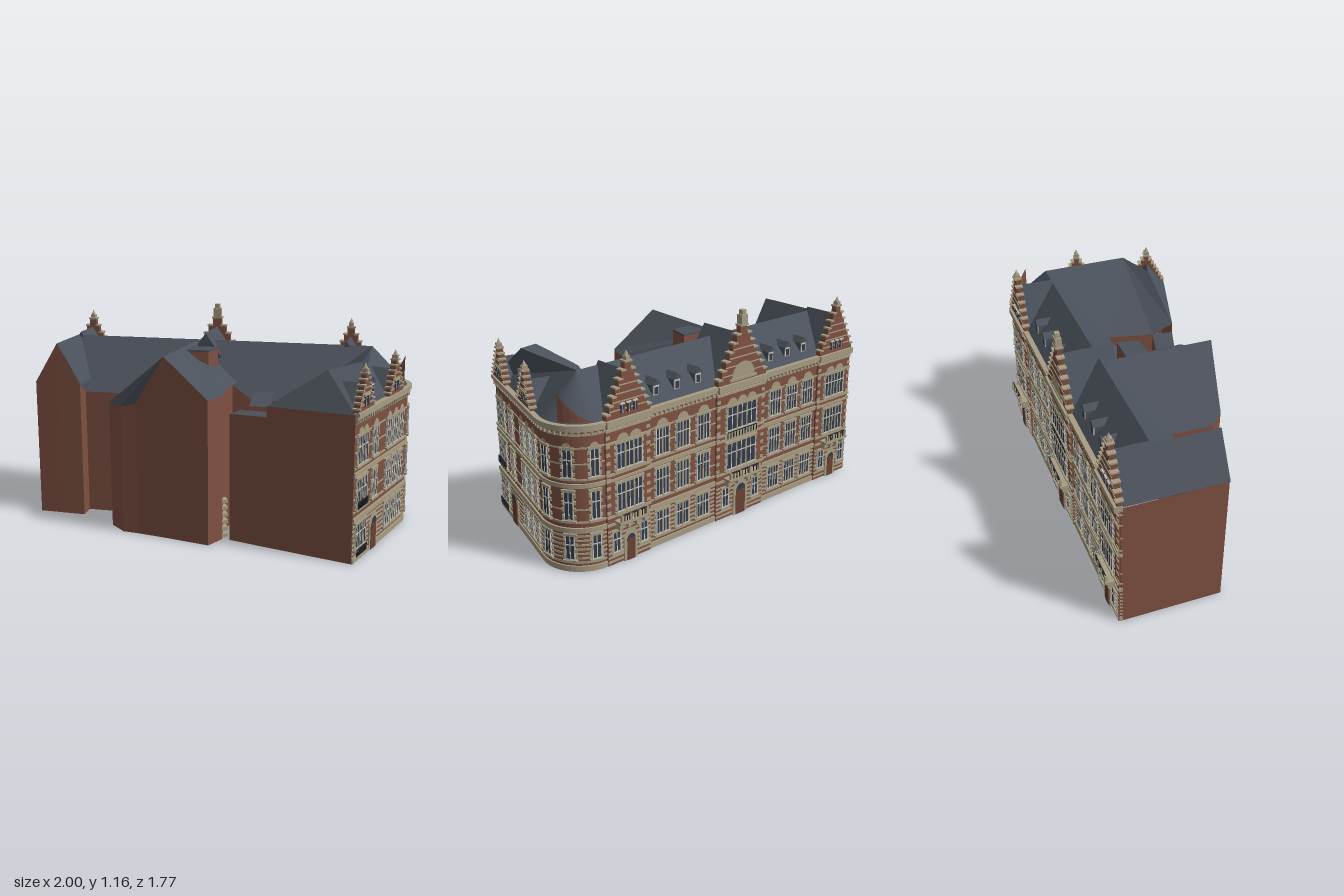
import * as THREE from 'three';

const material = (name, color, side = THREE.FrontSide) => {
  const m = new THREE.MeshStandardMaterial({ color, side });
  m.name = name;
  return m;
};

export function createModel() {
  const brick = material('brick', 0x7f5142, THREE.DoubleSide);
  const slate = material('slate', 0x4b515b, THREE.DoubleSide);
  const stone = material('stone', 0xa89d84);
  const glass = material('glass', 0x353c49);
  const white = material('window white', 0xc9c8c0);
  const wood = material('door wood', 0x6a4032);
  const iron = material('iron', 0x24272b);
  const root = new THREE.Group();
  root.name = 'cornerBuilding';

  // Street front: long straight, rounded corner, short straight. u runs along it.
  const A0 = -60.92 * Math.PI / 180, A1 = Math.PI / 4, R = 0.201;
  const U1 = 1.84, U2 = U1 + R * (A1 - A0), U3 = U2 + 0.724;
  const DX = 0.874, DZ = 0.486, CX = 0.78, CZ = 0.21;
  const P = (u, off = 0) => {
    const a = A0 + (A1 - A0) * THREE.MathUtils.clamp((u - U1) / (U2 - U1), 0, 1);
    const before = Math.min(u - U1, 0), after = Math.max(u - U2, 0);
    return {
      x: CX + (R + off) * Math.cos(a) + before * DX - after * 0.7071,
      z: CZ + (R + off) * Math.sin(a) + before * DZ + after * 0.7071, a,
    };
  };
  // Point at u along the long front, t inward from it
  const L = (u, t, y) => { const p = P(0); return [p.x + DX * u - DZ * t, y, p.z + DZ * u + DX * t]; };
  const arcU = Array.from({ length: 15 }, (_, i) => U1 + (U2 - U1) * i / 14);
  const pathU = [0, ...arcU, U3];

  const add = (parent, geo, mat, name) => {
    const m = new THREE.Mesh(geo, mat);
    m.name = name;
    parent.add(m);
    return m;
  };
  // Flat faces, each a fan from its first corner
  const faces = (name, mat, polys) => {
    const v = [];
    for (const p of polys) for (let i = 1; i < p.length - 1; i++) v.push(...p[0], ...p[i], ...p[i + 1]);
    const g = new THREE.BufferGeometry();
    g.setAttribute('position', new THREE.Float32BufferAttribute(v, 3));
    g.computeVertexNormals();
    return add(root, g, mat, name);
  };
  const prism = (name, pts, y0, y1, mat) => {
    const s = new THREE.Shape(pts.map(([x, z]) => new THREE.Vector2(x, -z)));
    const g = new THREE.ExtrudeGeometry(s, { depth: y1 - y0, bevelEnabled: false });
    return add(root, g.rotateX(-Math.PI / 2).translate(0, y0, 0), mat, name);
  };
  const band = (name, y0, y1, out, mat = stone) => {
    const side = (o, list) => list.map(u => { const p = P(u, o); return [p.x, p.z]; });
    prism(name, [...side(out, pathU), ...side(-0.01, [...pathU].reverse())], y0, y1, mat);
  };
  // Group standing on the street front, its +z facing outward
  const at = (name, u, off = 0) => {
    const g = new THREE.Group(), p = P(u, off);
    g.name = name;
    g.position.set(p.x, 0, p.z);
    g.rotation.y = Math.PI / 2 - p.a;
    root.add(g);
    return g;
  };
  const unit = new THREE.BoxGeometry(1, 1, 1);
  const box = (g, name, mat, x, y, z, w, h, d) => {
    const m = add(g, unit, mat, name);
    m.position.set(x, y, z);
    m.scale.set(w, h, d);
    return m;
  };
  const halfDisc = (g, name, mat, x, y, z, r) =>
    add(g, new THREE.CircleGeometry(r, 14, 0, Math.PI), mat, name).position.set(x, y, z);

  // Outer walls as a shell with varying top heights
  const street = pathU.map(u => { const p = P(u); return [p.x, 0.765, p.z]; });
  const ridgeEnd = [CX, 0.98, CZ], ridgeB = [0.54, 0.98, 0.63], ridgeC = [0.35, 0.95, 0.64];
  const southEnd = [0.41, 0.765, 0.865], wingBack = [0.07, 0.755, 0.525];
  const yardA = [0.31, 0.7, 0.24], yardB = [0.14, 0.7, 0.43];
  const midTop = [-0.4, 0.985, 0.25], midEnd = [-0.1, 0.975, -0.25];
  const midWest = [[-0.53, 0.72, 0.14], [-0.6, 0.7, 0.09], [-0.64, 0.7, -0.03], [-0.49, 0.7, -0.28]];
  const midEast = [[-0.21, 0.78, 0.42], [-0.115, 0.78, 0.35], [-0.07, 0.78, 0.24], [0.02, 0.78, 0.08]];
  const annex = [[0, 0.69, 0.3], [-0.08, 0.69, 0.37], [0.07, 0.7, 0.525]];
  const loop = [
    ...street, wingBack, [0.07, 0.7, 0.525], annex[1], annex[0], yardB, yardA,
    L(1.33, 0.457, 0.7), L(1.33, 0.52, 0.68), L(1.22, 0.52, 0.68), L(1.22, 0.457, 0.7),
    ...[...midEast].reverse(), midTop, ...midWest, L(0.49, 0.457, 0.7), L(0.26, 0.457, 0.7),
    L(0.265, 0.553, 0.76), L(0.135, 0.55, 0.985), L(0, 0.545, 0.76), street[0],
  ];
  const down = p => [p[0], 0, p[2]];
  faces('walls', brick, loop.slice(1).map((b, i) => [down(loop[i]), down(b), b, loop[i]]));

  // Slate roofs
  const arcEave = arcU.map(u => { const p = P(u); return [p.x, 0.77, p.z]; });
  faces('mainRoof', slate, [
    [L(0.14, 0, 0.77), L(U1, 0, 0.77), ridgeEnd, L(0.14, 0.2, 0.98)],
    [L(0.14, 0.2, 0.98), ridgeEnd, yardA, L(0.14, 0.457, 0.7)],
    [ridgeEnd, ...arcEave],
  ]);
  faces('westRoof', slate, [0, 0.27].map(u =>
    [L(u, 0, 0.77), L(0.135, 0, 0.985), L(0.135, 0.55, 0.985), L(u, 0.55, 0.76)]));
  faces('wingRoof', slate, [
    [southEnd, arcEave[14], ridgeEnd, ridgeB], [southEnd, ridgeB, ridgeC, wingBack],
    [ridgeB, ridgeEnd, yardA, yardB, wingBack, ridgeC],
  ]);
  faces('rearRoof', slate, [
    [midTop, ...midWest, midEnd], [midEnd, midTop, ...midEast, L(1.12, 0.385, 0.78)],
  ]);
  faces('lowRoofs', slate, [
    [L(1.22, 0.42, 0.74), L(1.33, 0.42, 0.74), L(1.33, 0.52, 0.68), L(1.22, 0.52, 0.68)],
    [yardB, ...annex],
  ]);
  const shaft = [[-0.16, -0.15], [-0.02, -0.07], [-0.1, 0.02], [-0.22, -0.04]];
  prism('roofShaft', shaft, 0.78, 0.955, brick);
  prism('roofShaftTop', shaft, 0.955, 0.965, slate);

  // Brick screen rising round the corner
  const screen = [0, 1, 2, 3, 4, 5, 6].map(i => {
    const p = P(1.87 + 0.205 * i / 6, -0.01);
    return [p.x, 0.78 + 0.14 * (i / 6) ** 1.7, p.z];
  });
  faces('cornerScreen', brick, screen.slice(1).map((b, i) =>
    [[screen[i][0], 0.76, screen[i][2]], [b[0], 0.76, b[2]], b, screen[i]]));

  // Stone courses and cornice
  band('plinth', 0, 0.03, 0.008);
  for (let i = 0; i < 7; i++) band('groundStripe', 0.043 + i * 0.024, 0.053 + i * 0.024, 0.004);
  for (const [a, b, o] of [[0.212, 0.238, 0.01], [0.262, 0.272, 0.006], [0.33, 0.337, 0.003], [0.45, 0.472, 0.008],
    [0.488, 0.497, 0.006], [0.57, 0.577, 0.003], [0.652, 0.66, 0.004], [0.718, 0.728, 0.005],
    [0.742, 0.758, 0.014], [0.758, 0.776, 0.022]]) band('stoneCourse', a, b, o);
  for (let u = 0.015; u < U3; u += 0.03) box(at('corbel', u), 'corbelBlock', stone, 0, 0.732, 0.006, 0.011, 0.02, 0.014);

  // Windows: glass, white bars, stone sill, lintel and toothed jambs
  const win = (u, y, w, h, lights, off = 0, arches = 0) => {
    const g = at('window', u, off);
    box(g, 'glass', glass, 0, y + h / 2, 0.005, w, h, 0.006);
    for (let i = 0; i <= lights; i++) {
      const x = (i / lights - 0.5) * w;
      box(g, 'bar', i % lights ? stone : white, x, y + h / 2, 0.007, i % lights ? 0.01 : 0.005, h, 0.008);
      if (i < lights) box(g, 'glazingBar', white, x + w / lights / 2, y + h / 2, 0.006, 0.005, h, 0.007);
    }
    for (const f of [0.02, 0.64]) box(g, 'rail', white, 0, y + h * f, 0.006, w, 0.006, 0.008);
    box(g, 'sill', stone, 0, y - 0.006, 0.007, w + 0.03, 0.012, 0.016);
    box(g, 'lintel', stone, 0, y + h + 0.006, 0.005, w + 0.024, 0.014, 0.012);
    for (const s of [-1, 1]) for (let i = 0; i < 4; i++)
      box(g, 'jambStone', stone, s * (w / 2 + 0.006), y + h * (i + 0.5) / 4, 0.003, 0.014, h / 8, 0.008);
    for (let i = 0; i < arches; i++)
      halfDisc(g, 'archStone', stone, ((i + 0.5) / arches - 0.5) * w, y + h + 0.014, 0.0085, Math.min(0.038, w / arches / 2));
  };
  const floors = (u, w, lights, arches, ground = true) => {
    if (ground) win(u, 0.065, w, 0.13, lights);
    win(u, 0.28, w, 0.15, lights);
    win(u, 0.505, w, 0.145, lights, 0, arches);
  };
  const door = (u, w, h, off = 0) => {
    const g = at('door', u, off);
    box(g, 'doorSurround', stone, 0, h / 2 + 0.005, 0.004, w + 0.035, h + 0.01, 0.012);
    halfDisc(g, 'doorArch', stone, 0, h + 0.01, 0.0101, w / 2 + 0.0175);
    box(g, 'doorLeaf', wood, 0, h / 2, 0.009, w, h, 0.008);
    halfDisc(g, 'fanlight', glass, 0, h, 0.0135, w / 2);
  };
  const railing = (g, w, y, z) => {
    box(g, 'railTop', iron, 0, y + 0.035, z, w, 0.005, 0.005);
    for (let i = 0; i <= 10; i++) box(g, 'baluster', iron, (i / 10 - 0.5) * w, y + 0.017, z, 0.004, 0.035, 0.004);
  };

  // Stepped gable with stone copings, finial and a slate roof behind
  const gable = (u, hw, top, off, depth) => {
    const g = at('steppedGable', u, off), y0 = 0.765, n = 7, dy = (top - y0) / n;
    const edge = [];
    for (let i = 0; i < n; i++) edge.push([hw * (1 - i / n), y0 + i * dy], [hw * (1 - i / n), y0 + (i + 1) * dy]);
    const pts = [...edge, ...edge.map(([x, y]) => [-x, y]).reverse()].map(p => new THREE.Vector2(...p));
    const geo = new THREE.ExtrudeGeometry(new THREE.Shape(pts), { depth: 0.03, bevelEnabled: false });
    add(g, geo.translate(0, 0, -0.03), brick, 'gableWall');
    for (let i = 0; i < n; i++) for (const s of [-1, 1])
      box(g, 'coping', stone, s * (hw * (1 - (i + 0.5) / n)), y0 + (i + 1) * dy, -0.013, hw / n + 0.008, 0.009, 0.042);
    for (let i = 1; i < n - 2; i++) box(g, 'gableCourse', stone, 0, y0 + i * dy + 0.012, 0, hw * 2 * (1 - i / n), 0.006, 0.006);
    box(g, 'finialBlock', stone, 0, top + 0.012, -0.012, 0.026, 0.024, 0.03);
    add(g, new THREE.ConeGeometry(0.013, 0.03, 8), stone, 'finial').position.set(0, top + 0.038, -0.012);
    const roof = new THREE.Shape([[-hw, y0], [hw, y0], [0, top - 0.05]].map(p => new THREE.Vector2(...p)));
    const rg = new THREE.ExtrudeGeometry(roof, { depth, bevelEnabled: false });
    add(g, rg.translate(0, 0, -0.028 - depth), slate, 'gableRoof');
    return g;
  };

  // Projecting bays on the long front with door, balcony and gable
  const OFF = 0.012;
  for (const [u, hw, top, big] of [[0.145, 0.14, 1.05, 0], [0.916, 0.18, 1.08, 1], [1.7, 0.138, 1.05, 0]]) {
    const g = at('bay', u), w = big ? 0.22 : 0.16;
    box(g, 'bayWall', brick, 0, 0.38, OFF / 2, hw * 2, 0.76, OFF);
    for (let i = 0; i < 8; i++) box(g, 'bayStripe', stone, 0, 0.02 + i * 0.024, OFF, hw * 2, 0.01, 0.008);
    for (const y of [0.225, 0.268, 0.461, 0.492, 0.656, 0.723, 0.75, 0.767])
      box(g, 'bayCourse', stone, 0, y, OFF, hw * 2 + 0.006, y > 0.74 ? 0.017 : 0.013, y > 0.74 ? 0.04 : 0.014);
    for (const s of [-1, 1]) for (let i = 0; i < 10; i++)
      box(g, 'quoin', stone, s * (hw - 0.011), 0.29 + i * 0.044, OFF, 0.024, 0.018, 0.006);
    win(u, 0.285, w, 0.15, 3, OFF);
    win(u, 0.51, w, 0.135, 3, OFF, big ? 3 : 2);
    door(u, big ? 0.07 : 0.05, big ? 0.145 : 0.12, OFF);
    for (const s of [-1, 1]) win(u + s * hw * 0.64, 0.07, 0.045, 0.11, 1, OFF);
    box(g, 'balconySlab', stone, 0, 0.236, 0.035, w + 0.03, 0.014, 0.055);
    for (let i = 0; i < 4; i++) {
      const x = (i / 3 - 0.5) * w;
      box(g, 'balconyBracket', stone, x, 0.214, 0.028, 0.018, 0.034, 0.04);
      box(g, 'balconyPost', stone, x, 0.26, 0.056, 0.014, 0.04, 0.012);
    }
    railing(g, w, 0.243, 0.056);
    if (big) {
      box(g, 'upperPanel', stone, 0, 0.475, OFF, w + 0.03, 0.045, 0.016);
      railing(g, w, 0.47, 0.026);
    }
    const f = gable(u, hw, top, OFF + 0.006, big ? 0.27 : 0.2);
    if (big) {
      halfDisc(f, 'tympanum', stone, 0, 0.8, 0.005, 0.085);
      box(f, 'tympanumBase', stone, 0, 0.792, 0.002, 0.2, 0.014, 0.012);
      box(f, 'crown', stone, 0, 1.11, -0.012, 0.045, 0.05, 0.035);
      box(f, 'crownTop', stone, 0, 1.145, -0.012, 0.028, 0.03, 0.026);
    } else for (const x of [-0.04, 0, 0.04]) {
      box(f, 'gableWindow', glass, x, 0.82, 0.002, 0.022, 0.045, 0.008);
      box(f, 'gableWindowHead', white, x, 0.846, 0.003, 0.028, 0.008, 0.01);
      box(f, 'gableWindowBar', white, x, 0.82, 0.003, 0.004, 0.045, 0.008);
    }
  }

  // Regular windows on both fronts and the rounded corner
  const mainBays = [0.37, 0.505, 0.64, 1.19, 1.335, 1.475];
  for (const u of mainBays) floors(u, 0.085, 2, 1);
  for (const k of [0.15, 0.5, 0.85]) floors(U1 + (U2 - U1) * k, 0.045, 1, 1);
  for (const u of [2.287, 2.38, 2.473]) floors(u, 0.062, 2, 1);
  floors(2.666, 0.065, 2, 1, false);
  floors(2.838, 0.13, 3, 2);
  door(2.666, 0.07, 0.14);
  for (const y of [0.03, 0.28]) railing(at('windowRailing', 2.838), 0.13, y, 0.016);

  // Smaller gables on the short front
  for (const u of [2.4, 2.825]) {
    const g = gable(u, 0.105, 0.955, 0.012, 0.13);
    for (const x of [-0.018, 0.018]) {
      box(g, 'gableWindow', glass, x, 0.82, 0.002, 0.024, 0.05, 0.008);
      box(g, 'gableWindowBar', white, x, 0.82, 0.003, 0.004, 0.05, 0.008);
    }
    box(g, 'gableWindowHead', stone, 0, 0.85, 0.002, 0.075, 0.01, 0.01);
  }

  // Roof dormers
  for (const u of [...mainBays, 2.62]) {
    const g = at('dormer', u, -0.04);
    box(g, 'dormerBody', slate, 0, 0.83, -0.04, 0.042, 0.07, 0.08);
    box(g, 'dormerFrame', white, 0, 0.836, 0.001, 0.036, 0.05, 0.006);
    box(g, 'dormerGlass', glass, 0, 0.834, 0.003, 0.024, 0.038, 0.006);
    const s = new THREE.Shape([[-0.028, 0.865], [0.028, 0.865], [0, 0.895]].map(p => new THREE.Vector2(...p)));
    add(g, new THREE.ExtrudeGeometry(s, { depth: 0.11, bevelEnabled: false }).translate(0, 0, -0.1), slate, 'dormerRoof');
  }

  // Stone quoins at the yard passage
  for (let i = 0; i < 6; i++) box(root, 'yardQuoin', stone, -0.1, 0.02 + i * 0.038, 0.325, 0.035, 0.018, 0.05);
  return root;
}
